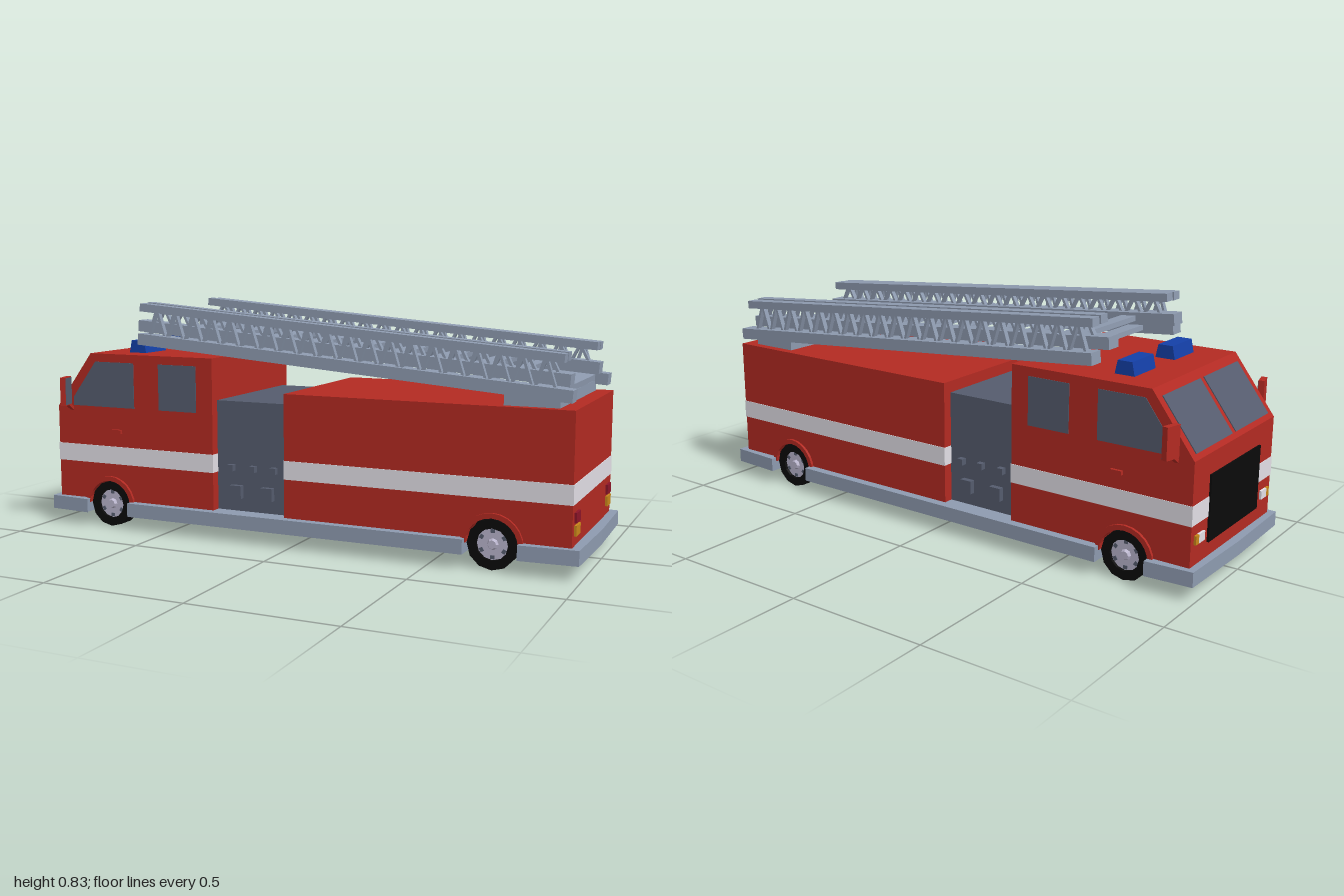
import * as THREE from 'three';

const mat = (color) => new THREE.MeshStandardMaterial({ color, flatShading: true });
const RED = mat(0xb32a22), WHITE = mat(0xe2dfe6), STEEL = mat(0x8e9bb0), SLATE = mat(0x555c6e);
const BLACK = mat(0x0a0a0a), BLUE = mat(0x1440a8), AMBER = mat(0xc8861a), TAIL = mat(0x8c1428), HUB = mat(0xb9b4cc);

const WHEELS = [-0.745, 0.71], WHEEL_Y = 0.085, ARCH = 0.09;

export function createModel() {
  const root = new THREE.Group();
  root.name = 'fireTruck';

  const add = (name, geometry, material, parent = root) => {
    const mesh = new THREE.Mesh(geometry, material);
    mesh.name = name;
    parent.add(mesh);
    return mesh;
  };
  // Box given by its limits on each axis
  const box = (name, material, [x0, x1], [y0, y1], [z0, z1], parent = root) => {
    const m = add(name, new THREE.BoxGeometry(x1 - x0, y1 - y0, z1 - z0), material, parent);
    m.position.set((x0 + x1) / 2, (y0 + y1) / 2, (z0 + z1) / 2);
    return m;
  };
  // Box on both sides of the truck
  const pair = (name, material, xs, ys, [z0, z1], parent = root) => {
    box(name + 'Left', material, xs, ys, [z0, z1], parent);
    box(name + 'Right', material, xs, ys, [-z1, -z0], parent);
  };
  const shapeOf = (pts) => new THREE.Shape(pts.map(([x, y]) => new THREE.Vector2(x, y)));
  // Side profile extruded between two z values
  const slab = (name, material, shape, z0, z1, parent = root) => {
    const g = new THREE.ExtrudeGeometry(shape, { depth: z1 - z0, bevelEnabled: false, curveSegments: 6 });
    g.translate(0, 0, z0);
    return add(name, g, material, parent);
  };
  // Beam along a line in the side plane
  const beam = (name, [xa, ya], [xb, yb], h, z, w, parent) => {
    const m = add(name, new THREE.BoxGeometry(Math.hypot(xb - xa, yb - ya), h, w), STEEL, parent);
    m.position.set((xa + xb) / 2, (ya + yb) / 2, z);
    m.rotation.z = Math.atan2(yb - ya, xb - xa);
  };

  // Running board: plan outline with wheel notches
  const half = [[-1, 0], [-0.993, 0.31], [-0.83, 0.322]];
  for (const x of WHEELS) half.push([x - 0.09, 0.322], [x - 0.09, 0.215], [x + 0.09, 0.215], [x + 0.09, 0.322]);
  half.push([0.993, 0.31], [1, 0]);
  const plan = [...half, ...half.slice(1, -1).reverse().map(([x, z]) => [x, -z])];
  const board = slab('runningBoard', STEEL, shapeOf(plan), 0, 0.05);
  board.rotation.x = -Math.PI / 2;
  board.position.y = 0.05;

  // Cab and rear body, with wheel arches cut out of the profile
  const bodyShape = (pts, wheelX) => {
    const s = new THREE.Shape();
    const foot = Math.asin((0.1 - WHEEL_Y) / ARCH), dx = ARCH * Math.cos(foot);
    s.moveTo(pts[0][0], pts[0][1]);
    s.lineTo(wheelX - dx, 0.1);
    s.absarc(wheelX, WHEEL_Y, ARCH, Math.PI - foot, foot, true);
    pts.slice(1).forEach(([x, y]) => s.lineTo(x, y));
    s.closePath();
    return s;
  };
  slab('cab', RED, bodyShape([[-0.97, 0.1], [-0.31, 0.1], [-0.31, 0.64], [-0.82, 0.64], [-0.97, 0.44]], WHEELS[0]), -0.29, 0.29);
  slab('rearBody', RED, bodyShape([[-0.03, 0.1], [0.965, 0.1], [0.965, 0.53], [-0.03, 0.53]], WHEELS[1]), -0.29, 0.29);
  box('cabStripe', WHITE, [-0.972, -0.309], [0.235, 0.3], [-0.292, 0.292]);
  box('rearStripe', WHITE, [-0.031, 0.967], [0.235, 0.3], [-0.292, 0.292]);

  // Pump panel between cab and rear body
  box('pumpPanel', SLATE, [-0.312, -0.028], [0.1, 0.49], [-0.255, 0.255]);
  for (const x of [-0.25, -0.165, -0.083]) pair('gauge', SLATE, [x - 0.011, x + 0.011], [0.244, 0.266], [0.25, 0.275]);
  for (const x of [-0.23, -0.108]) pair('valve', SLATE, [x - 0.022, x + 0.022], [0.147, 0.193], [0.25, 0.275]);

  // Side windows and windshields
  const frontWindow = shapeOf([[-0.9, 0.445], [-0.635, 0.445], [-0.635, 0.61], [-0.8, 0.61], [-0.9, 0.475]]);
  slab('frontWindowLeft', SLATE, frontWindow, 0.28, 0.292);
  slab('frontWindowRight', SLATE, frontWindow, -0.292, -0.28);
  pair('rearWindow', SLATE, [-0.53, -0.375], [0.445, 0.61], [0.28, 0.292]);
  for (const s of [-1, 1]) {
    const glass = add('windshield', new THREE.BoxGeometry(0.2, 0.006, 0.25), SLATE);
    glass.position.set(-0.899, 0.535, s * 0.137);
    glass.rotation.z = Math.atan2(0.2, 0.15);
  }

  // Door handles, grille and lamps
  pair('doorHandle', RED, [-0.73, -0.69], [0.35, 0.364], [0.285, 0.301]);
  box('grille', BLACK, [-0.977, -0.965], [0.15, 0.37], [-0.18, 0.18]);
  pair('headlamp', WHITE, [-0.978, -0.965], [0.17, 0.2], [0.21, 0.25]);
  pair('turnSignal', AMBER, [-0.978, -0.965], [0.17, 0.2], [0.25, 0.27]);
  pair('tailLamp', TAIL, [0.96, 0.973], [0.175, 0.208], [0.21, 0.267]);
  pair('rearSignal', AMBER, [0.96, 0.973], [0.133, 0.167], [0.21, 0.267]);

  // Mirrors: slanted housing, dark rear face, sloping arm
  for (const s of [-1, 1]) {
    const mirror = new THREE.Group();
    mirror.name = s > 0 ? 'mirrorLeft' : 'mirrorRight';
    box('mirrorHousing', RED, [-0.01, 0.01], [-0.052, 0.052], [-0.028, 0.028], mirror);
    box('mirrorGlass', SLATE, [0.008, 0.012], [-0.049, 0.049], [-0.026, 0.026], mirror);
    mirror.position.set(-0.908, 0.5, s * 0.327);
    mirror.rotation.y = s * 0.25;
    root.add(mirror);
    const arm = add('mirrorArm', new THREE.BoxGeometry(0.015, 0.012, 0.05), RED);
    arm.position.set(-0.91, 0.441, s * 0.3);
    arm.rotation.x = -s * 0.65;
  }

  // Beacons: tapered blocks on the cab roof
  const beacon = shapeOf([[-0.71, 0.638], [-0.638, 0.638], [-0.648, 0.685], [-0.7, 0.685]]);
  slab('beaconLeft', BLUE, beacon, 0.065, 0.2);
  slab('beaconRight', BLUE, beacon, -0.2, -0.065);

  // Wheels, arch trims and dark wheel wells
  const ring = (outer, inner) => {
    const s = new THREE.Shape().absarc(0, 0, outer, 0, Math.PI * 2);
    s.holes.push(new THREE.Path().absarc(0, 0, inner, 0, Math.PI * 2, true));
    return s;
  };
  const trim = new THREE.Shape();
  trim.absarc(0, 0, 0.104, 0, Math.PI, false);
  trim.absarc(0, 0, 0.087, Math.PI, 0, true);
  for (const x of WHEELS) {
    box('wheelWell', BLACK, [x - 0.095, x + 0.095], [0.052, 0.185], [-0.214, 0.214]);
    for (const s of [1, -1]) {
      const wheel = new THREE.Group();
      wheel.name = 'wheel';
      wheel.position.set(x, WHEEL_Y, 0);
      if (s < 0) wheel.rotation.y = Math.PI;
      slab('tire', BLACK, ring(0.084, 0.053), 0.228, 0.291, wheel);
      const hub = add('hub', new THREE.CylinderGeometry(0.054, 0.054, 0.045, 12), HUB, wheel);
      hub.rotation.x = Math.PI / 2;
      hub.position.z = 0.258;
      const cap = add('hubCap', new THREE.CylinderGeometry(0.014, 0.02, 0.012, 8), HUB, wheel);
      cap.rotation.x = Math.PI / 2;
      cap.position.z = 0.285;
      for (let i = 0; i < 6; i++) {
        const a = (i + 0.5) * Math.PI / 3;
        const slot = add('hubSlot', new THREE.BoxGeometry(0.012, 0.014, 0.004), SLATE, wheel);
        slot.position.set(0.043 * Math.cos(a), 0.043 * Math.sin(a), 0.281);
        slot.rotation.z = a;
      }
      slab('archTrim', RED, trim, 0.27, 0.3, wheel);
      root.add(wheel);
    }
  }

  // Ladder mount on the rear roof
  box('ladderMount', STEEL, [0.73, 0.91], [0.525, 0.567], [-0.26, 0.26]);

  // Two nested ladder sections, leaning down towards the rear
  const SLOPE = -0.0815;
  const at = (x, y0) => [x, y0 + SLOPE * x];
  const section = (name, { x0, x1, base, top, z, railW, topZ }) => {
    const g = new THREE.Group();
    g.name = name;
    root.add(g);
    for (const s of [-1, 1]) {
      beam('lowerRail', at(x0, base), at(x1, base), 0.04, s * z, railW, g);
      beam('upperRail', at(-0.605, top), at(0.925, top), 0.028, s * topZ, 0.04, g);
      const n = 40, pitch = 1.48 / n;
      for (let i = 0; i < n; i++) {
        const x = -0.58 + i * pitch, up = i % 2;
        beam('strut', at(x, up ? top : base), at(x + pitch, up ? base : top), 0.009, s * topZ, 0.018, g);
      }
    }
    for (let i = 0; i < 8; i++) {
      const x = -0.465 + i * 0.155;
      beam('rung', at(x - 0.028, base), at(x + 0.028, base), 0.018, 0, 2 * z, g);
    }
    return g;
  };
  const outer = section('outerLadder', { x0: -0.61, x1: 0.955, base: 0.649, top: 0.762, z: 0.267, railW: 0.055, topZ: 0.265 });
  const inner = section('innerLadder', { x0: -0.64, x1: 0.935, base: 0.691, top: 0.764, z: 0.214, railW: 0.058, topZ: 0.215 });
  beam('endPlate', at(0.785, 0.649), at(0.91, 0.649), 0.025, 0, 0.5, outer);
  beam('endRung', at(0.73, 0.691), at(0.765, 0.691), 0.018, 0, 0.4, inner);

  return root;
}
